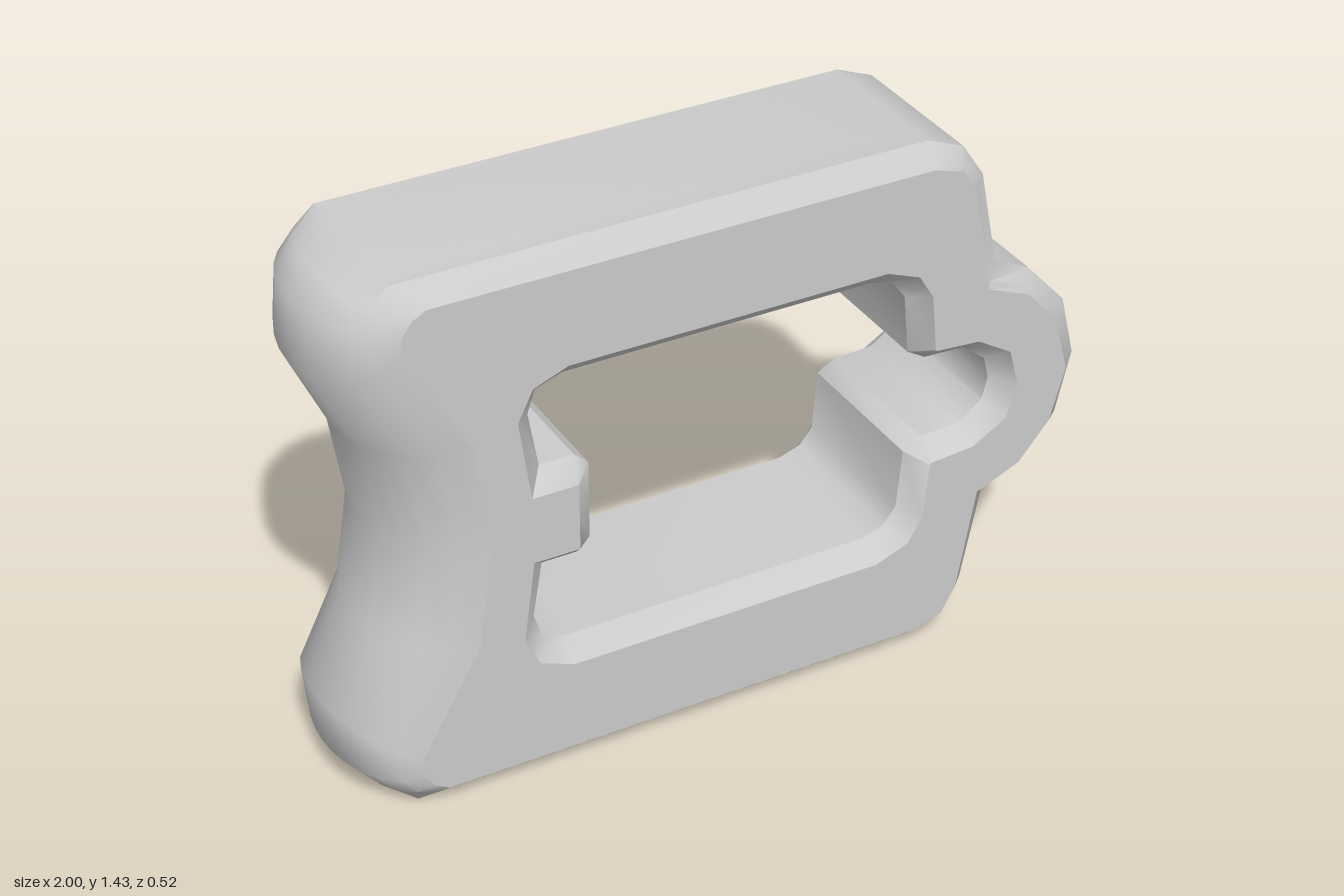
import * as THREE from 'three';
import { mergeGeometries, toCreasedNormals } from 'three/addons/utils/BufferGeometryUtils.js';

const MID_Y = 0.715, DEPTH = 0.26, BEVEL_Z = 0.205;

// Upper halves from right to left: [x, y at the middle, x, y on the face, 1 = rounded end]
const OUTER = [
  [1.0, 0.715, 0.945, 0.715], [0.96, 0.88, 0.905, 0.86], [0.85, 1.0, 0.82, 0.96],
  [0.75, 1.05, 0.70, 1.01], [0.70, 1.30, 0.65, 1.285], [0.64, 1.39, 0.61, 1.355],
  [0.54, 1.43, 0.53, 1.38], [-0.83, 1.43, -0.77, 1.38], [-0.93, 1.40, -0.805, 1.36, 1],
  [-0.985, 1.335, -0.83, 1.325, 1], [-1.0, 1.18, -0.835, 1.27, 1],
  [-0.9, 0.965, -0.675, 1.0, 1], [-0.86, 0.715, -0.635, 0.715, 1],
];
const HOLE = [
  [0.75, 0.715, 0.80, 0.715], [0.735, 0.775, 0.775, 0.81], [0.67, 0.825, 0.68, 0.868],
  [0.56, 0.83, 0.56, 0.877], [0.51, 0.86, 0.555, 0.882], [0.495, 1.02, 0.54, 1.035],
  [0.46, 1.065, 0.50, 1.10], [0.40, 1.085, 0.41, 1.135], [-0.42, 1.085, -0.43, 1.135],
  [-0.49, 1.06, -0.52, 1.10], [-0.51, 1.0, -0.56, 1.02], [-0.485, 0.853, -0.53, 0.805],
  [-0.395, 0.853, -0.411, 0.805], [-0.358, 0.82, -0.41, 0.804], [-0.358, 0.715, -0.41, 0.715],
];

// Adds the mirrored lower half
function closeLoop(half) {
  const lower = half.slice(1, -1).reverse()
    .map(([x, y, fx, fy, r]) => [x, 2 * MID_Y - y, fx, 2 * MID_Y - fy, r]);
  return [...half, ...lower];
}

// Contour at depth z: a straight bevel, or an elliptical bulge at the rounded end
function contour(loop, z) {
  const bevel = Math.min(1, (DEPTH - Math.abs(z)) / (DEPTH - BEVEL_Z));
  const bulge = Math.sqrt(Math.max(0, 1 - (z / DEPTH) ** 2));
  return loop.map(([x, y, fx, fy, round]) => {
    const t = round ? bulge : bevel;
    return new THREE.Vector3(fx + (x - fx) * t, fy + (y - fy) * t, z);
  });
}

// Side surface through the contours, front to back
function wall(loop, levels) {
  const rings = levels.map((z) => contour(loop, z));
  const pos = [];
  for (let k = 0; k < rings.length - 1; k++) {
    for (let i = 0; i < loop.length; i++) {
      const j = (i + 1) % loop.length;
      const a = rings[k][i], b = rings[k][j], c = rings[k + 1][j], d = rings[k + 1][i];
      for (const p of [d, c, b, d, b, a]) pos.push(p.x, p.y, p.z);
    }
  }
  const g = new THREE.BufferGeometry();
  g.setAttribute('position', new THREE.Float32BufferAttribute(pos, 3));
  return g;
}

// Flat face with the opening cut out
function cap(outer, hole, z) {
  const flat = (loop) => contour(loop, DEPTH).map((p) => new THREE.Vector2(p.x, p.y));
  const shape = new THREE.Shape(flat(outer));
  shape.holes.push(new THREE.Path(flat(hole)));
  let g = new THREE.ShapeGeometry(shape);
  if (z < 0) g.index.array.reverse();
  g = g.toNonIndexed().translate(0, 0, z);
  g.deleteAttribute('uv');
  g.deleteAttribute('normal');
  return g;
}

export function createModel() {
  const group = new THREE.Group();
  group.name = 'linkFrame';
  const material = new THREE.MeshStandardMaterial({ color: 0xcccccc });

  const outer = closeLoop(OUTER);
  const hole = closeLoop(HOLE);
  const half = [DEPTH, 0.245, BEVEL_Z, 0.16, 0.1, 0.05];
  const levels = [...half, 0, ...half.map((z) => -z).reverse()];

  const add = (name, geometry) => {
    const mesh = new THREE.Mesh(toCreasedNormals(geometry, 0.68), material);
    mesh.name = name;
    group.add(mesh);
  };
  add('outerRim', wall(outer, levels));
  // The opening includes the small post and the rounded notch
  add('innerOpening', wall(hole.slice().reverse(), [DEPTH, BEVEL_Z, -BEVEL_Z, -DEPTH]));
  add('frontAndBackFaces', mergeGeometries([cap(outer, hole, DEPTH), cap(outer, hole, -DEPTH)]));
  return group;
}
